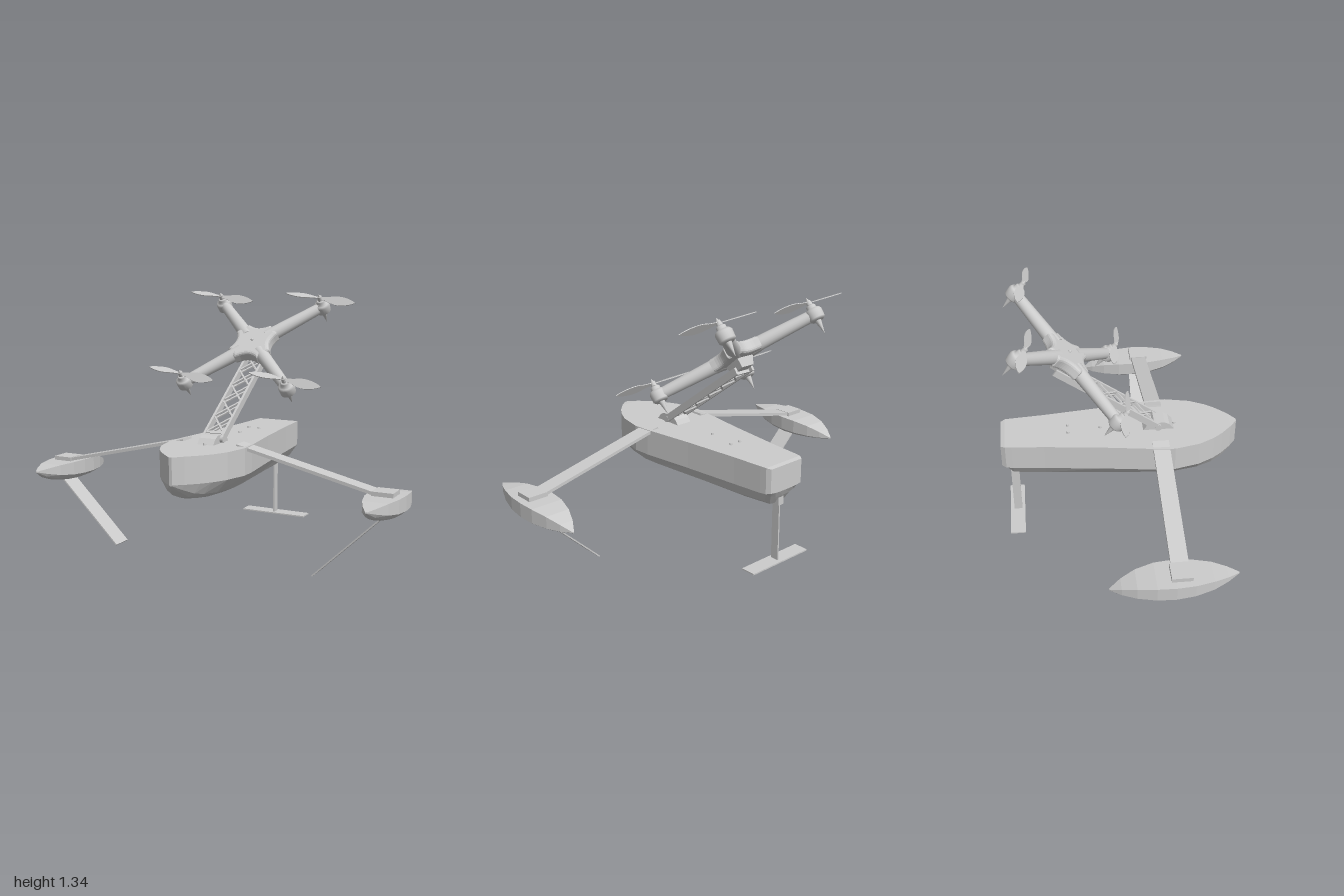
import * as THREE from 'three';

const mat = new THREE.MeshStandardMaterial({ color: 0xcccccc });
const flat = new THREE.MeshStandardMaterial({ color: 0xcccccc, flatShading: true });
const V = (x, y, z) => new THREE.Vector3(x, y, z);

function add(parent, name, geo, x = 0, y = 0, z = 0, m = mat) {
  const mesh = new THREE.Mesh(geo, m);
  mesh.name = name;
  mesh.position.set(x, y, z);
  parent.add(mesh);
  return mesh;
}

// Straight bar of rectangular section from a to b
function bar(parent, name, a, b, w, d) {
  const dir = b.clone().sub(a);
  const c = a.clone().add(b).multiplyScalar(0.5);
  const mesh = add(parent, name, new THREE.BoxGeometry(w, dir.length(), d), c.x, c.y, c.z);
  mesh.quaternion.setFromUnitVectors(V(0, 1, 0), dir.normalize());
  return mesh;
}

// Closed skin over boat sections, bow to stern: [z, halfWidth, deckY, chineY, keelY]
function boat(stations) {
  const pos = [], idx = [], n = 9;
  for (const [z, w, deck, chine, keel] of stations) {
    const side = [[0.42, 0.1], [0.7, 0.36], [1, 1]].map(([u, v]) => [w * u, keel + (chine - keel) * v]);
    const half = [...side, [w, deck]];
    const ring = [[0, keel], ...half, ...half.map(([x, y]) => [-x, y]).reverse()];
    ring.forEach(([x, y]) => pos.push(x, y, z));
  }
  const last = (stations.length - 1) * n;
  for (let s = 0; s < last; s += n)
    for (let j = 0; j < n; j++) {
      const k = (j + 1) % n, a = s + j, b = s + k;
      idx.push(a, a + n, b + n, a, b + n, b);
    }
  for (let j = 1; j < n - 1; j++) idx.push(0, j, j + 1, last, last + j + 1, last + j);
  const g = new THREE.BufferGeometry();
  g.setAttribute('position', new THREE.Float32BufferAttribute(pos, 3));
  g.setIndex(idx);
  g.computeVertexNormals();
  return g;
}

function propeller() {
  const g = new THREE.Group();
  g.name = 'propeller';
  const s = new THREE.Shape();
  s.moveTo(0.01, -0.008);
  s.bezierCurveTo(0.06, -0.012, 0.08, -0.032, 0.13, -0.028);
  s.quadraticCurveTo(0.19, -0.02, 0.215, 0);
  s.bezierCurveTo(0.17, 0.026, 0.09, 0.03, 0.06, 0.014);
  s.lineTo(0.01, 0.008);
  const geo = new THREE.ExtrudeGeometry(s, { depth: 0.004, bevelEnabled: false });
  geo.rotateX(-Math.PI / 2 + 0.35);
  for (const a of [0, Math.PI]) add(g, 'blade', geo).rotation.y = a;
  add(g, 'propellerHub', new THREE.CylinderGeometry(0.012, 0.015, 0.024, 16));
  add(g, 'spinner', new THREE.ConeGeometry(0.009, 0.018, 16), 0, 0.02);
  return g;
}

function quadcopter() {
  const g = new THREE.Group();
  g.name = 'quadcopter';

  // Four-lobed body with concave sides
  const s = new THREE.Shape();
  s.moveTo(0.1, 0.062);
  for (let i = 0; i < 4; i++) {
    const c = Math.cos(i * Math.PI / 2), n = Math.sin(i * Math.PI / 2);
    const r = (x, y) => [x * c - y * n, x * n + y * c];
    s.lineTo(...r(0.062, 0.1));
    s.quadraticCurveTo(...r(0, 0.062), ...r(-0.062, 0.1));
  }
  const body = new THREE.ExtrudeGeometry(s, {
    depth: 0.036, bevelThickness: 0.016, bevelSize: 0.018, bevelSegments: 3, curveSegments: 8
  });
  body.translate(0, 0, -0.018);
  body.rotateX(-Math.PI / 2);
  add(g, 'body', body);
  add(g, 'topKnob', new THREE.SphereGeometry(0.008, 12, 8), 0, 0.036);

  // Mount plate and block underneath
  const mount = new THREE.CylinderGeometry(0.075, 0.055, 0.05, 4);
  mount.rotateY(Math.PI / 4);
  add(g, 'mountBlock', mount, 0, -0.055, 0, flat);

  const pod = [[0, -0.035], [0.03, -0.035], [0.041, -0.025], [0.043, 0.015], [0.036, 0.026], [0.024, 0.028],
    [0.024, 0.045], [0.018, 0.05], [0, 0.05]].map(p => new THREE.Vector2(...p));
  for (const sx of [-1, 1])
    for (const sz of [-1, 1]) {
      const x = 0.3 * sx, z = 0.305 * sz;
      const boom = new THREE.CylinderGeometry(0.029, 0.038, 0.35, 20);
      const arm = add(g, 'boom', boom, x * 0.59, 0, z * 0.59);
      arm.quaternion.setFromUnitVectors(V(0, 1, 0), V(x, 0, z).normalize());
      add(g, 'motorPod', new THREE.LatheGeometry(pod, 24), x, 0, z);
      const leg = add(g, 'landingSpike', new THREE.ConeGeometry(0.018, 0.08, 12), x, -0.068, z);
      leg.rotation.x = Math.PI;
      const p = propeller();
      p.position.set(x, 0.063, z);
      p.rotation.y = -0.16;
      g.add(p);
    }
  return g;
}

function mast() {
  const g = new THREE.Group();
  g.name = 'latticeMast';
  const n = 5, step = 0.118, w = 0.053;
  for (const sx of [-1, 1]) {
    add(g, 'rail', new THREE.BoxGeometry(0.013, 0.65, 0.036), sx * w, 0.325, 0);
    for (const z of [-0.01, 0.01])
      for (let i = 0; i < n; i++)
        bar(g, 'brace', V(-sx * w, 0.03 + i * step, z), V(sx * w, 0.03 + (i + 1) * step, z), 0.009, 0.008);
  }
  for (const y of [0.03, 0.62]) add(g, 'crossBar', new THREE.BoxGeometry(0.11, 0.016, 0.03), 0, y, 0);
  return g;
}

export function createModel() {
  const model = new THREE.Group();

  // Main hull
  add(model, 'hull', boat([
    [0.623, 0.008, 0.603, 0.47, 0.465], [0.585, 0.055, 0.605, 0.47, 0.43], [0.53, 0.108, 0.605, 0.47, 0.39],
    [0.48, 0.145, 0.605, 0.47, 0.375], [0.4, 0.185, 0.605, 0.47, 0.366], [0.27, 0.213, 0.605, 0.468, 0.361],
    [0.18, 0.207, 0.605, 0.466, 0.36], [-0.1, 0.168, 0.605, 0.464, 0.36], [-0.4, 0.135, 0.605, 0.464, 0.365],
    [-0.565, 0.122, 0.605, 0.467, 0.378], [-0.6, 0.118, 0.605, 0.47, 0.43], [-0.622, 0.105, 0.6, 0.475, 0.468]
  ]), 0, 0, 0, flat);
  for (const [x, z] of [[0, -0.1], [-0.03, -0.27], [0.03, -0.27], [0, 0.29]])
    add(model, 'deckFitting', new THREE.CylinderGeometry(0.007, 0.009, 0.012, 12), x, 0.609, z);

  // Tail strut with horizontal foil
  add(model, 'tailBracket', new THREE.BoxGeometry(0.035, 0.06, 0.06), 0, 0.405, -0.562);
  add(model, 'tailStrut', new THREE.BoxGeometry(0.008, 0.34, 0.044), 0, 0.235, -0.562);
  add(model, 'tailFoil', new THREE.BoxGeometry(0.385, 0.007, 0.08), 0, 0.066, -0.565);

  // Outriggers, mirrored
  const floatGeo = boat([
    [0.475, 0.004, 0.415, 0.412, 0.408], [0.42, 0.035, 0.424, 0.395, 0.372], [0.35, 0.063, 0.432, 0.378, 0.347],
    [0.26, 0.084, 0.434, 0.366, 0.331], [0.17, 0.091, 0.434, 0.36, 0.325], [0.08, 0.085, 0.43, 0.357, 0.328],
    [-0.01, 0.064, 0.416, 0.356, 0.337], [-0.08, 0.036, 0.392, 0.357, 0.347], [-0.135, 0.004, 0.364, 0.36, 0.357]
  ]);
  for (const s of [-1, 1]) {
    bar(model, 'outriggerArm', V(s * 0.15, 0.607, 0.2), V(s * 0.87, 0.441, 0.2), 0.016, 0.086);
    add(model, 'armClamp', new THREE.BoxGeometry(0.105, 0.03, 0.1), s * 0.908, 0.44, 0.2);
    add(model, 'float', floatGeo, s * 0.909, 0, 0, flat);
    bar(model, 'floatFoil', V(s * 0.92, 0.345, 0.2), V(s * 0.565, 0.003, 0.2), 0.007, 0.106);
  }

  // Mast hinge on deck
  const base = new THREE.Shape();
  [[-0.285, 0], [-0.26, 0.03], [-0.235, 0.043], [-0.165, 0.043], [-0.14, 0.025], [-0.122, 0]]
    .forEach(([x, y], i) => (i ? base.lineTo(x, y) : base.moveTo(x, y)));
  const baseGeo = new THREE.ExtrudeGeometry(base, { depth: 0.09, bevelEnabled: false });
  baseGeo.rotateY(Math.PI / 2);
  add(model, 'hingeBase', baseGeo, -0.045, 0.604, 0);
  const pin = add(model, 'hingePin', new THREE.CylinderGeometry(0.018, 0.018, 0.122, 20), 0, 0.625, 0.2);
  pin.rotation.z = Math.PI / 2;

  // Leaning mast carrying the tilted quadcopter
  const m = mast();
  m.position.set(0, 0.625, 0.2);
  m.rotation.x = -0.94;
  model.add(m);
  const q = quadcopter();
  q.position.set(0, 1.066, -0.267);
  q.rotation.x = 0.7;
  model.add(q);

  return model;
}
